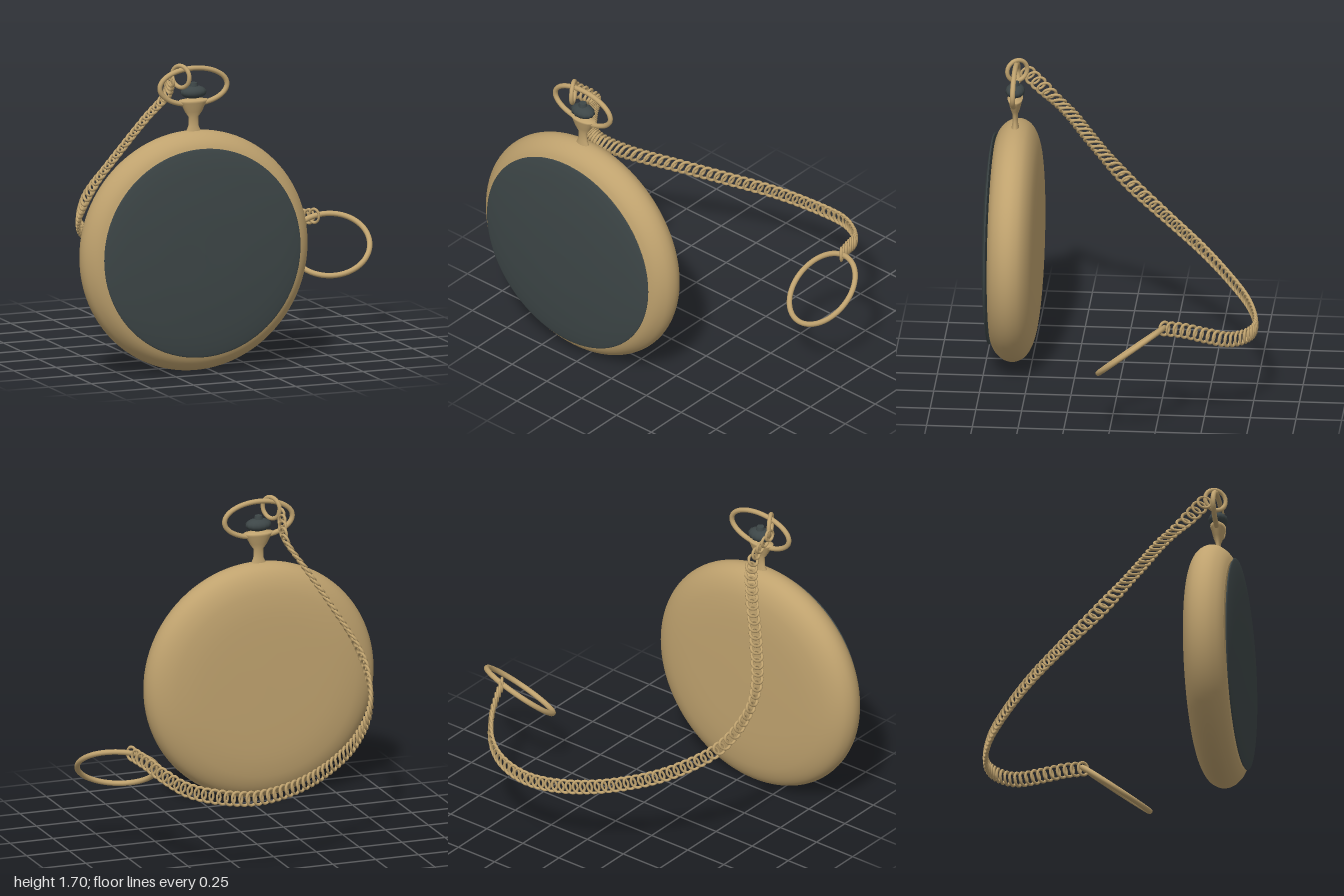
import * as THREE from 'three';

const gold = new THREE.MeshStandardMaterial({ color: 0xbfa26e });
gold.name = 'antique gold';
const dark = new THREE.MeshStandardMaterial({ color: 0x3d4647 });
dark.name = 'dark slate';

const CX = -0.335, CY = 0.67, CZ = 0.6;
const V = (x, y, z) => new THREE.Vector3(x, y, z);

// Lathe from [radius, height] pairs, lowest height first
function lathe(pairs, segments) {
  return new THREE.LatheGeometry(pairs.map(([r, h]) => new THREE.Vector2(r, h)), segments);
}

// Smooth lathe profile through a few control points
function smoothLathe(pairs, segments) {
  const curve = new THREE.SplineCurve(pairs.map(([r, h]) => new THREE.Vector2(r, h)));
  const points = curve.getPoints(36);
  points.forEach((p) => { p.x = Math.max(0, p.x); });
  return new THREE.LatheGeometry(points, segments);
}

export function createModel() {
  const model = new THREE.Group();
  model.name = 'pocketWatch';

  function add(parent, name, geometry, material, x = 0, y = 0, z = 0) {
    const mesh = new THREE.Mesh(geometry, material);
    mesh.name = name;
    mesh.position.set(x, y, z);
    parent.add(mesh);
    return mesh;
  }

  // Round case, turned so that its axis points forward
  const caseGeometry = smoothLathe([
    [0, 0.462], [0.35, 0.465], [0.5, 0.477], [0.58, 0.497], [0.632, 0.527], [0.658, 0.563],
    [0.666, 0.6], [0.657, 0.64], [0.632, 0.675], [0.603, 0.698], [0.57, 0.712],
  ], 96).rotateX(Math.PI / 2);
  add(model, 'case', caseGeometry, gold, CX, CY, 0);
  add(model, 'innerFace', new THREE.CircleGeometry(0.572, 96), gold, CX, CY, 0.71);

  // Domed dark front, with a flat back
  const dome = smoothLathe([
    [0.573, 0.722], [0.57, 0.732], [0.46, 0.748], [0.25, 0.762], [0, 0.767],
  ], 96).rotateX(Math.PI / 2);
  add(model, 'frontCover', dome, dark, CX, CY + 0.005, 0);
  const domeBack = new THREE.CircleGeometry(0.573, 96).rotateY(Math.PI);
  add(model, 'frontCoverBack', domeBack, dark, CX, CY + 0.005, 0.722);

  // Neck with a flared collar
  const neck = lathe([
    [0.05, 1.315], [0.03, 1.36], [0.028, 1.41], [0.05, 1.44], [0.075, 1.49], [0.085, 1.505], [0, 1.52],
  ], 24);
  neck.scale(1, 1, 0.5);
  add(model, 'neck', neck, gold, CX, 0, CZ);

  // Winding crown with a small button
  const crown = new THREE.SphereGeometry(1, 28, 12);
  const cp = crown.attributes.position;
  for (let i = 0; i < cp.count; i++) {
    const a = Math.atan2(cp.getZ(i), cp.getX(i));
    const k = 1 + 0.04 * Math.cos(a * 14);
    cp.setXYZ(i, cp.getX(i) * k * 0.072, cp.getY(i) * 0.036, cp.getZ(i) * k * 0.052);
  }
  crown.computeVertexNormals();
  add(model, 'crown', crown, dark, CX, 1.548, CZ);
  add(model, 'crownButton', new THREE.CylinderGeometry(0.02, 0.025, 0.025, 16), dark, CX, 1.588, CZ);

  // Oval bow around the crown
  const bowPoints = [];
  for (let i = 0; i < 32; i++) {
    const a = (i / 32) * Math.PI * 2;
    bowPoints.push(V(0.198 * Math.cos(a), 0.1 * Math.sin(a), 0));
  }
  const bowCurve = new THREE.CatmullRomCurve3(bowPoints, true);
  add(model, 'bow', new THREE.TubeGeometry(bowCurve, 72, 0.014, 10, true), gold, CX, 1.58, CZ);

  // Ring joining the bow to the chain
  const joint = add(model, 'bowRing', new THREE.TorusGeometry(0.06, 0.012, 10, 36), gold, -0.408, 1.637, 0.595);
  joint.rotation.y = -Math.atan2(0.07, 0.04);

  // Curb chain: a falling, then level sweep behind the case
  const path = new THREE.CatmullRomCurve3([
    V(-0.445, 1.61, 0.54), V(-0.425, 1.5, 0.42), V(-0.5, 1.36, 0.315), V(-0.62, 1.15, 0.2),
    V(-0.71, 0.97, 0.09), V(-0.73, 0.85, -0.01), V(-0.685, 0.7, -0.19), V(-0.52, 0.58, -0.4),
    V(-0.3, 0.5, -0.57), V(-0.05, 0.45, -0.7), V(0.2, 0.43, -0.755), V(0.4, 0.45, -0.73),
    V(0.55, 0.48, -0.64), V(0.65, 0.54, -0.52), V(0.71, 0.59, -0.4), V(0.75, 0.615, -0.3),
  ]);
  const chain = new THREE.Group();
  chain.name = 'chain';
  model.add(chain);
  const link = new THREE.TorusGeometry(1, 0.22, 8, 20);
  link.scale(0.031, 0.038, 0.036);
  const count = Math.round(path.getLength() / 0.041);
  for (let i = 0; i <= count; i++) {
    const u = i / count;
    const p = path.getPointAt(u);
    const t = path.getTangentAt(u);
    // The band lies along z while falling and stands upright afterwards
    const blend = THREE.MathUtils.smoothstep(p.z, -0.1, 0.15);
    const upright = u > 0.5 ? 0 : blend;
    const ref = V(0, 1 - upright, -upright);
    const normal = V(0, 0, 0).crossVectors(t, ref).normalize();
    const width = V(0, 0, 0).crossVectors(normal, t);
    const mesh = add(chain, 'chainLink', link, gold, p.x, p.y, p.z);
    mesh.quaternion.setFromRotationMatrix(new THREE.Matrix4().makeBasis(t, width, normal));
    mesh.rotateZ(-0.3);
    mesh.rotateY(0.26);
  }

  // Large ring at the loose end, tilted
  const endRing = add(model, 'endRing', new THREE.TorusGeometry(0.219, 0.015, 12, 64), gold, 0.767, 0.487, -0.12);
  endRing.quaternion.setFromUnitVectors(V(0, 0, 1), V(-0.25, 0.77, 0.59).normalize());

  return model;
}
